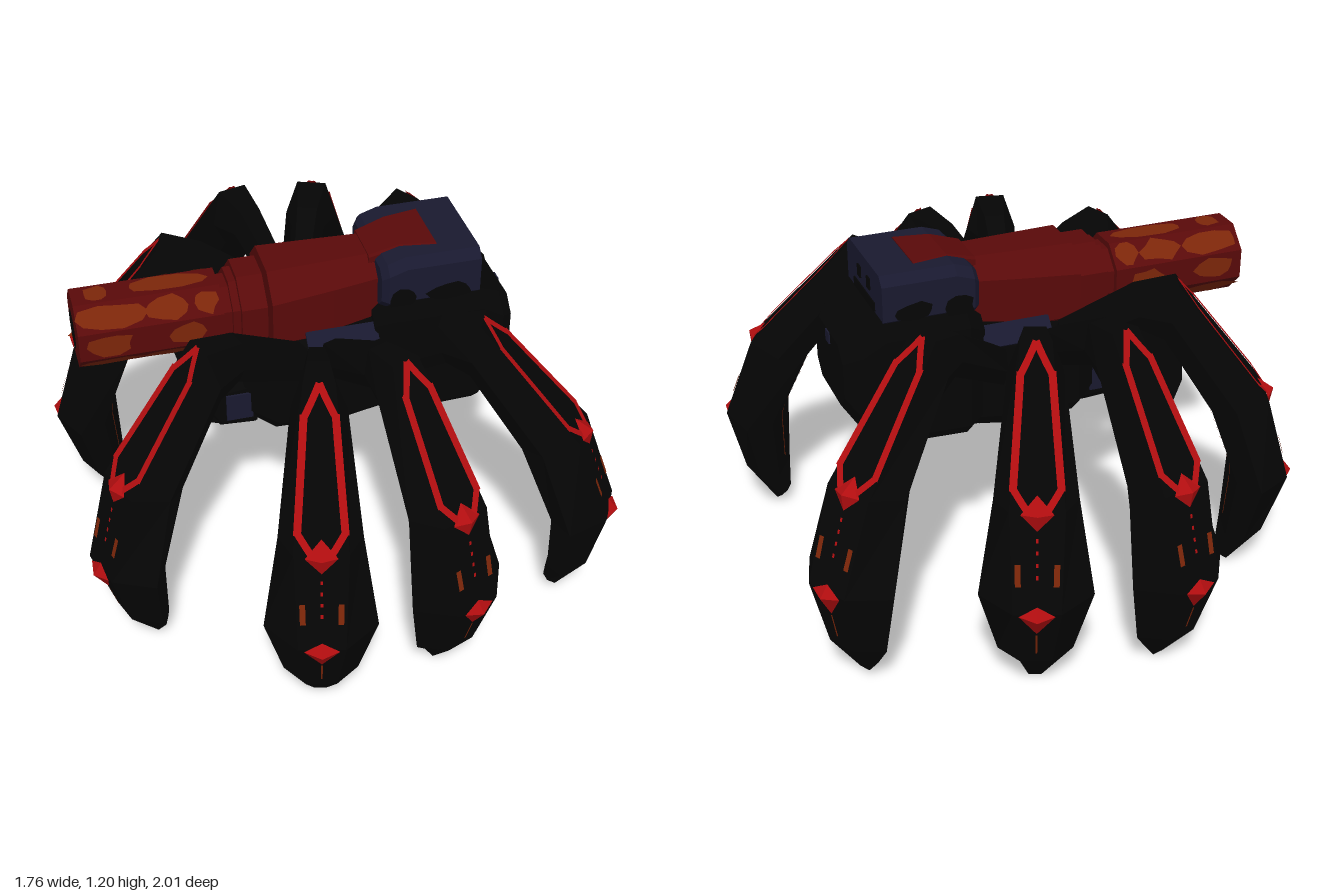
import * as THREE from 'three';
import { mergeGeometries } from 'three/addons/utils/BufferGeometryUtils.js';

const V = (x, y, z) => new THREE.Vector3(x, y, z);

function material(name, color) {
  const m = new THREE.MeshStandardMaterial({ color, flatShading: true, side: THREE.DoubleSide });
  m.name = name;
  return m;
}

// flat-faced geometry from a list of triangle corners
function fromPoints(pts) {
  const g = new THREE.BufferGeometry().setFromPoints(pts);
  g.computeVertexNormals();
  return g;
}

// skin equal-length rings of points, with end caps, facing outward
function loft(rings) {
  const pts = [], n = rings[0].length, last = rings.length - 1;
  for (let i = 0; i < last; i++) for (let j = 0; j < n; j++) {
    const k = (j + 1) % n, a = rings[i], b = rings[i + 1];
    pts.push(a[j], b[j], b[k], a[j], b[k], a[k]);
  }
  for (let j = 1; j < n - 1; j++) {
    pts.push(rings[0][0], rings[0][j], rings[0][j + 1]);
    pts.push(rings[last][0], rings[last][j + 1], rings[last][j]);
  }
  let volume = 0;
  for (let i = 0; i < pts.length; i += 3) volume += pts[i].dot(V(0, 0, 0).crossVectors(pts[i + 1], pts[i + 2]));
  if (volume < 0) for (let i = 0; i < pts.length; i += 3) [pts[i + 1], pts[i + 2]] = [pts[i + 2], pts[i + 1]];
  return fromPoints(pts);
}

// chamfered bar along x from stations [x, bottom, top, halfDepth, chamfer]
function bar(stations) {
  return loft(stations.map(([x, b, t, h, c]) => [
    V(x, t, -h + c), V(x, t, h - c), V(x, t - c, h), V(x, b + c, h),
    V(x, b, h - c), V(x, b, -h + c), V(x, b + c, -h), V(x, t - c, -h)]));
}

// leg sections: outer radius/height, inner radius/height, half width, half width of the outer face
const SECTIONS = [
  [0, 0.95, 0, 0.82, 0.04, 0.025], [0.25, 1.08, 0.27, 0.94, 0.058, 0.035], [0.39, 1.1, 0.35, 0.91, 0.088, 0.05],
  [0.71, 0.69, 0.52, 0.65, 0.132, 0.085], [0.8, 0.38, 0.62, 0.38, 0.18, 0.075],
  [0.73, 0.15, 0.6, 0.14, 0.12, 0.05], [0.62, 0.01, 0.58, 0.05, 0.035, 0.02]];

function legGeometry() {
  return loft(SECTIONS.map(([or, oy, ir, iy, w, f]) => {
    const mr = or * 0.4 + ir * 0.6, my = oy * 0.4 + iy * 0.6;
    return [V(or, oy, -f), V(or, oy, f), V(mr, my, w),
      V(ir, iy, 0.6 * w), V(ir, iy, -0.6 * w), V(mr, my, -w)];
  }));
}

// point and normal on the outer (side 0) or inner (side 2) face of a leg
function legPoint(s, u, side = 0, lift = 0.005) {
  const i = Math.min(Math.floor(s), SECTIONS.length - 2), f = s - i;
  const a = SECTIONS[i], b = SECTIONS[i + 1];
  const dr = b[side] - a[side], dy = b[side + 1] - a[side + 1];
  const normal = V(-dy, dr, 0).normalize().multiplyScalar(side ? -1 : 1);
  const p = V(a[side] + dr * f, a[side + 1] + dy * f, u * (a[5] + (b[5] - a[5]) * f));
  return { p: p.addScaledVector(normal, lift), normal };
}

// painted line between two places on a leg face
function stripe(s0, u0, s1, u1, half, side = 0) {
  const rows = [], n = 8;
  for (let i = 0; i <= n; i++) rows.push(legPoint(s0 + (s1 - s0) * i / n, u0 + (u1 - u0) * i / n, side));
  const dir = rows[n].p.clone().sub(rows[0].p).normalize(), pts = [];
  const edge = (r, k) => r.p.clone().addScaledVector(V(0, 0, 0).crossVectors(r.normal, dir), k * half);
  for (let i = 0; i < n; i++) {
    const [a, b, c, d] = [edge(rows[i], -1), edge(rows[i], 1), edge(rows[i + 1], 1), edge(rows[i + 1], -1)];
    pts.push(a, c, b, a, d, c);
  }
  return fromPoints(pts);
}

// raised four-sided stud on the outer face
function stud(s, w, up, down) {
  const [l, r, t, b] = [[s, -w], [s, w], [s - up, 0], [s + down, 0]].map(([a, u]) => legPoint(a, u, 0, 0.004).p);
  const c = legPoint(s, 0, 0, 0.03).p;
  return fromPoints([t, l, c, l, b, c, b, r, c, r, t, c]);
}

export function createModel() {
  const model = new THREE.Group();
  model.name = 'walkerGun';
  const black = material('black armour', 0x050505);
  const navy = material('navy armour', 0x19192f);
  const maroon = material('dark red gun', 0x590909);
  const orange = material('burnt orange', 0x7c2609);
  const red = material('bright red', 0xb00d0f);
  const pink = material('dusty pink', 0xa8565f);
  const add = (name, geometry, mat, parent = model) => {
    const m = new THREE.Mesh(geometry, mat);
    m.name = name;
    parent.add(m);
    return m;
  };

  // hull
  add('abdomen', bar([[0.15, 0.62, 1.0, 0.17, 0.04], [0.22, 0.6, 1.06, 0.23, 0.05],
    [0.5, 0.61, 1.06, 0.23, 0.05], [0.58, 0.68, 1.02, 0.22, 0.06], [0.63, 0.75, 0.97, 0.16, 0.05]]), black);
  add('thorax', bar([[-0.28, 0.62, 0.88, 0.1, 0.04], [-0.18, 0.58, 0.94, 0.19, 0.06],
    [0.05, 0.58, 0.96, 0.2, 0.06], [0.2, 0.6, 0.98, 0.18, 0.05]]), black);
  add('turretHousing', bar([[0.17, 1.03, 1.17, 0.17, 0.03], [0.19, 1.03, 1.19, 0.19, 0.03],
    [0.25, 1.03, 1.21, 0.19, 0.03], [0.5, 1.03, 1.21, 0.19, 0.03]]), navy);

  // head and jaws
  add('head', bar([[-0.42, 0.66, 0.75, 0.06, 0.02], [-0.36, 0.58, 0.76, 0.1, 0.03],
    [-0.24, 0.58, 0.78, 0.11, 0.03]]), black);
  add('lowerJaw', bar([[-0.51, 0.62, 0.65, 0.05, 0.01], [-0.34, 0.57, 0.65, 0.08, 0.02]]), black);
  add('jawBlade', bar([[-0.55, 0.59, 0.598, 0.01, 0.002], [-0.4, 0.575, 0.598, 0.05, 0.004]]), maroon);
  add('jawGun', new THREE.CylinderGeometry(0.014, 0.014, 0.15, 8).rotateZ(Math.PI / 2).translate(-0.485, 0.607, 0), pink);
  for (const side of [-1, 1]) {
    add('headSpike', new THREE.ConeGeometry(0.025, 0.08, 4).translate(-0.36, 0.76, side * 0.06), black);
    add('cheekPlate', new THREE.BoxGeometry(0.09, 0.1, 0.008).translate(-0.3, 0.68, side * 0.113), navy);
    add('eye', new THREE.SphereGeometry(0.015, 8, 6).translate(-0.385, 0.675, side * 0.085), pink);
  }

  // gun
  add('barrel', bar([[-0.81, 0.9, 1.14, 0.12, 0.07], [-0.34, 0.9, 1.14, 0.12, 0.07]]), maroon);
  add('bore', new THREE.CircleGeometry(0.07, 8).rotateY(-Math.PI / 2).translate(-0.814, 1.02, 0), black);
  add('barrelNeck', bar([[-0.35, 0.92, 1.12, 0.1, 0.06], [-0.27, 0.92, 1.12, 0.1, 0.06]]), maroon);
  add('barrelRing', bar([[-0.31, 0.9, 1.14, 0.115, 0.07], [-0.285, 0.9, 1.14, 0.115, 0.07]]), maroon);
  add('barrelCollar', bar([[-0.285, 0.88, 1.16, 0.135, 0.08], [-0.2, 0.88, 1.16, 0.135, 0.08]]), maroon);
  add('breech', bar([[-0.19, 0.87, 1.18, 0.16, 0.08], [0.02, 0.87, 1.18, 0.14, 0.07],
    [0.2, 0.87, 1.18, 0.12, 0.06]]), maroon);
  add('breechTop', bar([[0.15, 1.15, 1.185, 0.085, 0.008], [0.25, 1.17, 1.214, 0.095, 0.008],
    [0.37, 1.17, 1.214, 0.115, 0.008]]), maroon);

  // camouflage blotches: wobbly flat discs
  let seed = 7;
  const rand = () => (seed = (seed * 16807) % 2147483647) / 2147483647;
  function blotch(name, mat, x, y, z, sx, sy, tilt) {
    const g = new THREE.CircleGeometry(1, 10), p = g.attributes.position;
    for (let i = 1; i < p.count - 1; i++) {
      const k = 0.75 + 0.4 * rand();
      p.setXY(i, p.getX(i) * k, p.getY(i) * k);
    }
    p.setXY(p.count - 1, p.getX(1), p.getY(1));
    g.scale(sx, sy, 1).rotateX(tilt).translate(x, y, z);
    return add(name, g.toNonIndexed(), mat);
  }
  for (let k = 0; k < 8; k++) {
    const a = k * Math.PI / 4;
    const spots = k === 2 ? [[-0.5, 0.15], [-0.73, 0.04]]
      : k % 2 ? [[-0.7, 0.11], [-0.52, 0.08], [-0.39, 0.04]] : [[-0.71, 0.08], [-0.46, 0.06]];
    for (const [x, len] of spots)
      blotch('barrelBlotch', orange, x, 1.02 + Math.sin(a) * 0.123, Math.cos(a) * 0.123, len, 0.042, -a);
  }
  for (const side of [-1, 1]) {
    const tilt = side > 0 ? 0 : Math.PI;
    blotch('housingBlotch', black, 0.24, 1.075, side * 0.194, 0.05, 0.04, tilt);
    blotch('housingBlotch', black, 0.4, 1.08, side * 0.194, 0.08, 0.035, tilt);
    blotch('thoraxBlotch', navy, -0.05, 0.85, side * 0.206, 0.06, 0.04, tilt);
    blotch('abdomenBlotch', navy, 0.32, 0.97, side * 0.234, 0.05, 0.025, tilt);
    add('thoraxTopPlate', new THREE.BoxGeometry(0.24, 0.008, 0.08)
      .rotateX(side * Math.PI / 4).translate(0.04, 0.938, side * 0.174), navy);
  }
  add('rearMark', new THREE.BoxGeometry(0.008, 0.04, 0.04).translate(0.631, 0.95, 0), navy);
  for (const z of [-0.05, 0.05])
    add('rearHousingMark', new THREE.BoxGeometry(0.008, 0.04, 0.03).translate(0.501, 1.14, z), black);
  add('rearHousingBand', new THREE.BoxGeometry(0.008, 0.03, 0.22).translate(0.501, 1.08, 0), black);

  // legs: shared shapes placed at four angles on each side
  const shell = legGeometry();
  const redParts = [stud(3.02, 0.6, 0.12, 0.16), stud(4.02, 0.75, 0.1, 0.36)];
  for (const k of [-1, 1]) redParts.push(
    stripe(2.0, 0, 2.2, k * 0.85, 0.011), stripe(2.18, k * 0.85, 2.88, k * 0.9, 0.012),
    stripe(2.86, k * 0.92, 3.08, 0, 0.011));
  for (let i = 0; i < 4; i++) redParts.push(stripe(3.25 + i * 0.12, 0, 3.29 + i * 0.12, 0, 0.004));
  const redTrim = mergeGeometries(redParts);
  const orangeTrim = mergeGeometries([
    stripe(3.5, 0.75, 3.72, 0.75, 0.009), stripe(3.5, -0.75, 3.72, -0.75, 0.009),
    stripe(4.4, 0, 4.8, 0, 0.003), stripe(3.1, 0, 4.8, 0, 0.004, 2)]);
  // name, hub x, hub y, hub z, heading, outward pitch, reach
  const legs = [
    ['frontLeg', -0.1, 0, 0.19, 161, 0, 0.99], ['foreLeg', -0.06, 0, 0.21, 104, 0, 0.99],
    ['midLeg', -0.01, 0, 0.19, 69, 0, 0.99], ['rearLeg', 0.183, -0.034, 0.248, 30, 5, 1]];
  for (const [name, x, y, z, heading, pitch, reach] of legs) for (const side of [-1, 1]) {
    const leg = new THREE.Group();
    leg.name = name;
    leg.position.set(x, y, side * z);
    leg.rotation.y = -side * THREE.MathUtils.degToRad(heading);
    leg.rotation.z = THREE.MathUtils.degToRad(pitch);
    leg.scale.x = reach;
    add('legShell', shell, black, leg);
    add('legRedTrim', redTrim, red, leg);
    add('legOrangeTrim', orangeTrim, orange, leg);
    model.add(leg);
  }
  return model;
}
